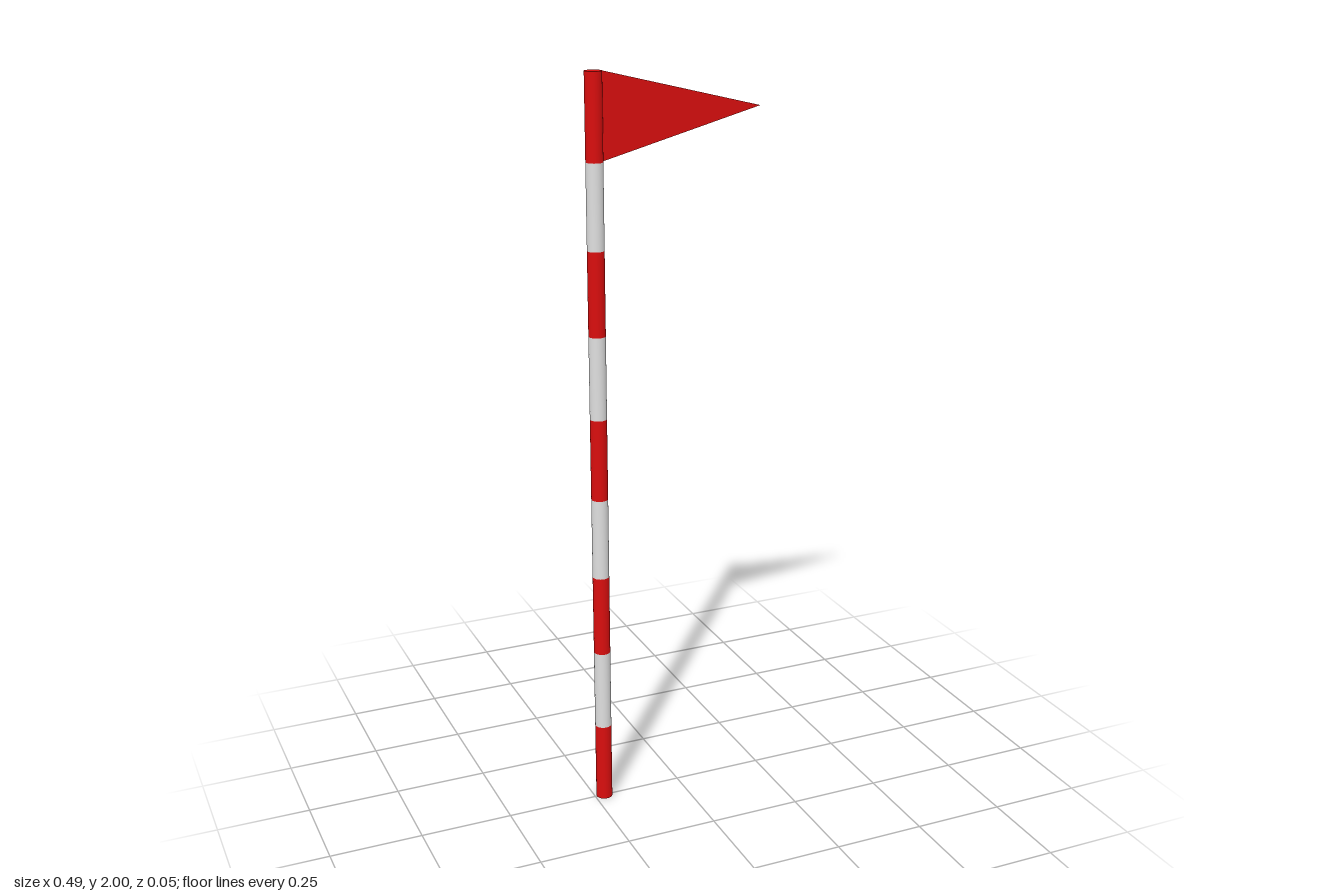
import * as THREE from 'three';

export function createModel() {
  const red = new THREE.MeshStandardMaterial({ color: 0xd90e0e });
  red.name = 'red';
  const white = new THREE.MeshStandardMaterial({ color: 0xdedede });
  white.name = 'white';

  const model = new THREE.Group();
  model.name = 'flagPole';
  const poleX = -0.223, radius = 0.0223, bands = 9, bandHeight = 2 / bands;

  // Pole: equal bands alternating red and white, closed only at its two ends
  const pole = new THREE.Group();
  pole.name = 'pole';
  pole.position.x = poleX;
  model.add(pole);
  const bandGeometry = new THREE.CylinderGeometry(radius, radius, bandHeight, 32, 1, true);
  for (let i = 0; i < bands; i++) {
    const band = new THREE.Mesh(bandGeometry, i % 2 ? white : red);
    band.name = i % 2 ? 'whiteBand' : 'redBand';
    band.position.y = (i + 0.5) * bandHeight;
    pole.add(band);
  }
  const capGeometry = new THREE.CircleGeometry(radius, 32);
  for (const top of [true, false]) {
    const cap = new THREE.Mesh(capGeometry, red);
    cap.name = top ? 'topCap' : 'bottomCap';
    cap.rotation.x = top ? -Math.PI / 2 : Math.PI / 2;
    cap.position.y = top ? 2 : 0;
    pole.add(cap);
  }

  // Pennant: thin triangle along the top band, swung slightly backwards
  const thickness = 0.003;
  const shape = new THREE.Shape([
    new THREE.Vector2(radius - 0.002, 2 - bandHeight),
    new THREE.Vector2(0.466, 2 - bandHeight / 2),
    new THREE.Vector2(radius - 0.002, 2),
  ]);
  const flagGeometry = new THREE.ExtrudeGeometry(shape, { depth: thickness, bevelEnabled: false });
  flagGeometry.translate(0, 0, -thickness / 2);
  const flag = new THREE.Mesh(flagGeometry, red);
  flag.name = 'pennant';
  flag.position.x = poleX;
  flag.rotation.y = THREE.MathUtils.degToRad(2.9);
  model.add(flag);

  return model;
}
